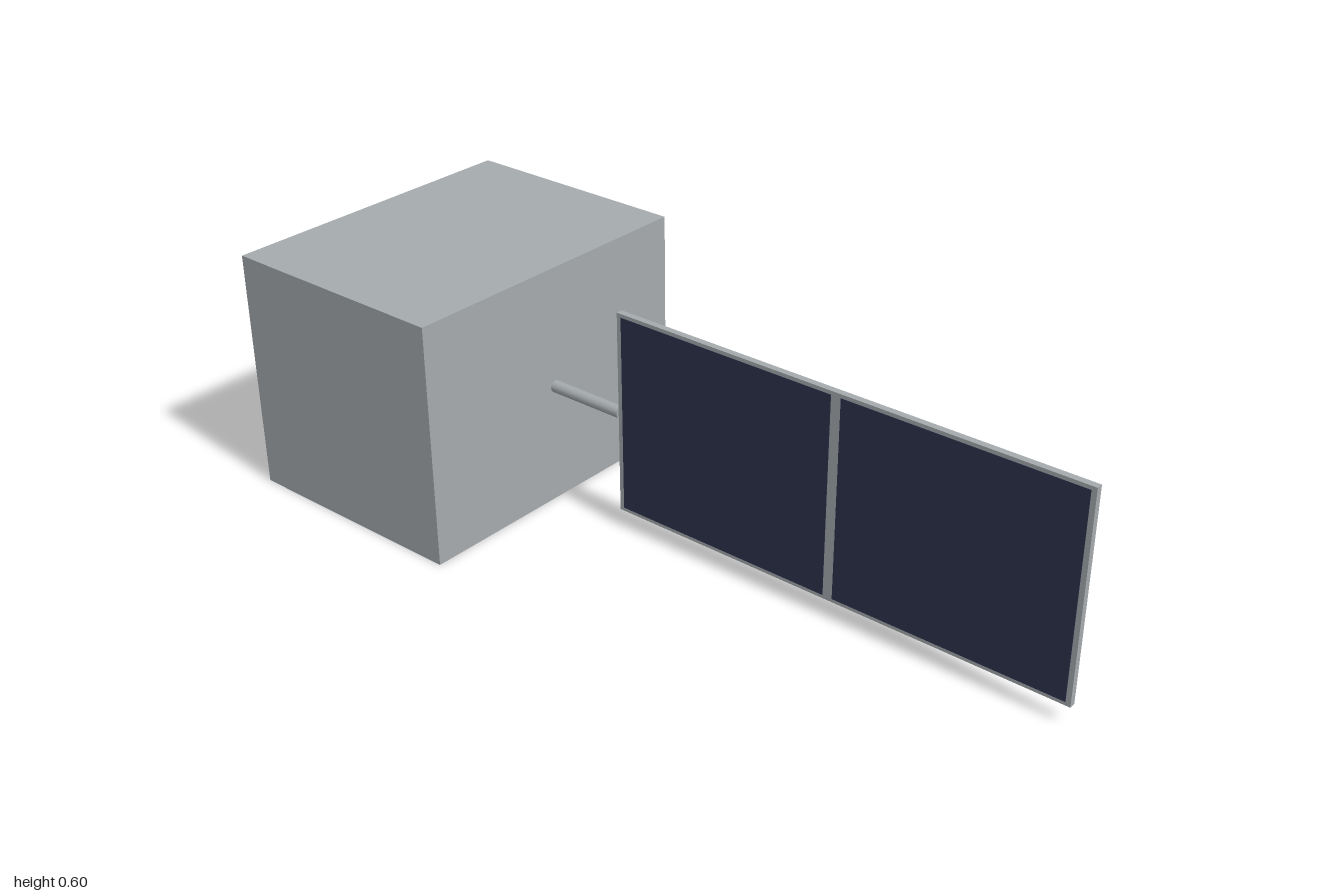
import * as THREE from 'three';

export function createModel() {
  const model = new THREE.Group();
  const metal = new THREE.MeshStandardMaterial({ color: 0xa6abae });
  metal.name = 'grey metal';
  const blue = new THREE.MeshStandardMaterial({ color: 0x2d334e });
  blue.name = 'dark blue cell';

  function add(name, geometry, material, x, y, z) {
    const mesh = new THREE.Mesh(geometry, material);
    mesh.name = name;
    mesh.position.set(x, y, z);
    model.add(mesh);
    return mesh;
  }

  // Main body
  add('body', new THREE.BoxGeometry(0.6, 0.6, 0.8), metal, -0.7, 0.3, 0);

  // Round arm joining the body to the panel
  const arm = add('arm', new THREE.CylinderGeometry(0.015, 0.015, 0.205, 16), metal, -0.2975, 0.3, 0);
  arm.rotation.z = Math.PI / 2;

  // Panel backing, whose rim frames the cells
  add('panelFrame', new THREE.BoxGeometry(1.195, 0.51, 0.016), metal, 0.4025, 0.3, 0);

  // Two dark cells on the front of the panel
  for (const side of [-1, 1]) {
    const name = side < 0 ? 'rightCell' : 'leftCell';
    add(name, new THREE.BoxGeometry(0.573, 0.492, 0.002), blue, 0.4025 + side * 0.299, 0.3, 0.008);
  }
  return model;
}
